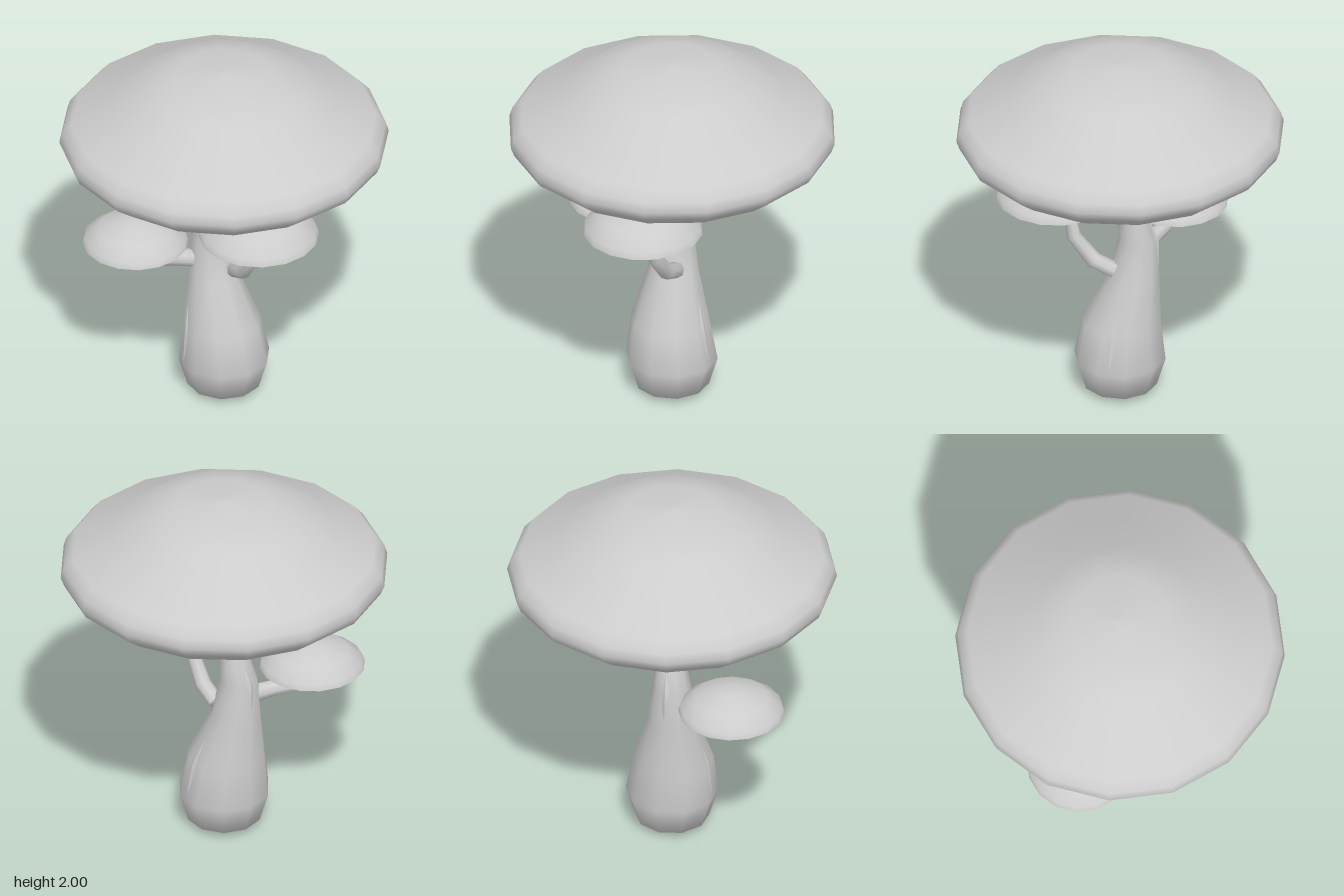
import * as THREE from 'three';
import { toCreasedNormals } from 'three/addons/utils/BufferGeometryUtils.js';
import { ParametricGeometry } from 'three/addons/geometries/ParametricGeometry.js';

const grey = new THREE.MeshStandardMaterial({ color: 0xcccccc, side: THREE.DoubleSide });
grey.name = 'plain grey';

function part(name, geometry) {
  const mesh = new THREE.Mesh(geometry, grey);
  mesh.name = name;
  return mesh;
}

// Lathed mushroom cap, profile [radius, height] from underside to crown
function cap(name, profile, x = 0, y = 0, z = 0, scale = 1, crease = false) {
  let geo = new THREE.LatheGeometry(profile.map(([r, h]) => new THREE.Vector2(r, h)), 16);
  if (crease) geo = toCreasedNormals(geo, 1.0);
  const mesh = part(name, geo);
  mesh.position.set(x, y, z);
  mesh.scale.setScalar(scale);
  return mesh;
}

// Tapered limb: rings [x, y, z, radius], closed at both ends; level keeps rings horizontal
function limb(name, rings, sides, level = false) {
  const centres = rings.map(([x, y, z]) => new THREE.Vector3(x, y, z));
  const up = new THREE.Vector3(0, 1, 0);
  const pos = [], index = [];
  rings.forEach(([, , , r], i) => {
    const dir = level ? up : centres[Math.min(i + 1, rings.length - 1)].clone()
      .sub(centres[Math.max(i - 1, 0)]).normalize();
    const q = new THREE.Quaternion().setFromUnitVectors(up, dir);
    for (let s = 0; s < sides; s++) {
      const a = (s / sides) * Math.PI * 2;
      const p = new THREE.Vector3(Math.sin(a) * r, 0, Math.cos(a) * r).applyQuaternion(q).add(centres[i]);
      pos.push(p.x, p.y, p.z);
      if (i === 0) continue;
      const n = (s + 1) % sides, lo = (i - 1) * sides, hi = i * sides;
      index.push(lo + s, lo + n, hi + n, lo + s, hi + n, hi + s);
    }
  });
  // End caps
  const last = rings.length - 1, first = pos.length / 3;
  for (const c of [centres[0], centres[last]]) pos.push(c.x, c.y, c.z);
  for (let s = 0; s < sides; s++) {
    const n = (s + 1) % sides;
    index.push(first, n, s, first + 1, last * sides + s, last * sides + n);
  }
  const geo = new THREE.BufferGeometry();
  geo.setAttribute('position', new THREE.Float32BufferAttribute(pos, 3));
  geo.setIndex(index);
  geo.computeVertexNormals();
  return part(name, geo);
}

const STEM_SIDES = 10;
const STEM = [
  [0, 0.04, 0, 0.2], [0, 0.2, 0, 0.247], [-0.01, 0.42, 0.01, 0.213],
  [-0.078, 0.7, 0.005, 0.135], [-0.097, 0.92, 0.003, 0.103],
  [-0.075, 1.03, 0, 0.085], [0.003, 1.42, 0, 0.038],
];

// Point on the faceted stem at height y and angle a, lifted outwards
function stemPoint(y, a, lift, target) {
  let i = 0;
  while (i < STEM.length - 2 && STEM[i + 1][1] < y) i++;
  const t = (y - STEM[i][1]) / (STEM[i + 1][1] - STEM[i][1]);
  const [x, , z, r] = STEM[i].map((v, k) => THREE.MathUtils.lerp(v, STEM[i + 1][k], t));
  const step = (Math.PI * 2) / STEM_SIDES;
  const off = THREE.MathUtils.euclideanModulo(a, step) - step / 2;
  const d = r * Math.cos(step / 2) / Math.cos(off) + lift;
  return target.set(x + Math.sin(a) * d, y, z + Math.cos(a) * d);
}

// Slender ridged bark mark that follows the stem
function barkMark(name, x, z, y0, y1, radius) {
  const mid = Math.atan2(x, z);
  const geo = new ParametricGeometry((u, v, target) => {
    const w = Math.sin(v * Math.PI);
    const a = mid + (u - 0.5) * 0.04 * w / radius;
    stemPoint(y0 + (y1 - y0) * v, a, 0.002 + 0.007 * w * (1 - Math.abs(u * 2 - 1)), target);
  }, 2, 8);
  return part(name, toCreasedNormals(geo, 0.3));
}

export function createModel() {
  const group = new THREE.Group();
  group.name = 'mushroomTree';

  // Main cap
  group.add(cap('mainCap', [
    [0, 1.37], [0.54, 1.41], [0.76, 1.46], [0.86, 1.54], [0.88, 1.59], [0.865, 1.64],
    [0.815, 1.7], [0.6, 1.8], [0.44, 1.92], [0.26, 1.98], [0, 2],
  ]));

  // Side caps share one profile, measured from the rim
  const sideCap = [
    [0, -0.065], [0.16, -0.055], [0.322, 0], [0.31, 0.037],
    [0.225, 0.097], [0.08, 0.15], [0, 0.152],
  ];
  group.add(cap('leftCap', sideCap, 0.333, 1.16, 0.1, 1, true));
  group.add(cap('rightCap', sideCap, -0.34, 0.937, 0.33, 0.88, true));

  // Leaning stem with a swollen, slightly pointed foot
  const stem = limb('stem', [[0, 0.005, 0, 0], ...STEM], STEM_SIDES, true);
  group.add(stem);

  // Branches
  group.add(limb('leftBranch', [
    [0.03, 0.745, -0.03, 0.045], [0.14, 0.795, 0.005, 0.045],
    [0.243, 0.93, 0.05, 0.038], [0.27, 1.13, 0.075, 0.024],
  ], 8));
  group.add(limb('rightBranch', [
    [-0.135, 0.8, 0.08, 0.052], [-0.2, 0.815, 0.17, 0.045],
    [-0.275, 0.82, 0.26, 0.038], [-0.315, 0.91, 0.31, 0.028],
  ], 8));

  // Bark marks
  group.add(barkMark('frontBarkMark', -0.085, 0.19, 0.21, 0.56, 0.21));
  group.add(barkMark('backBarkMark', 0.085, -0.205, 0.23, 0.58, 0.21));
  group.add(barkMark('sideBarkMark', -0.096, -0.03, 0.76, 1.05, 0.1));

  return group;
}
